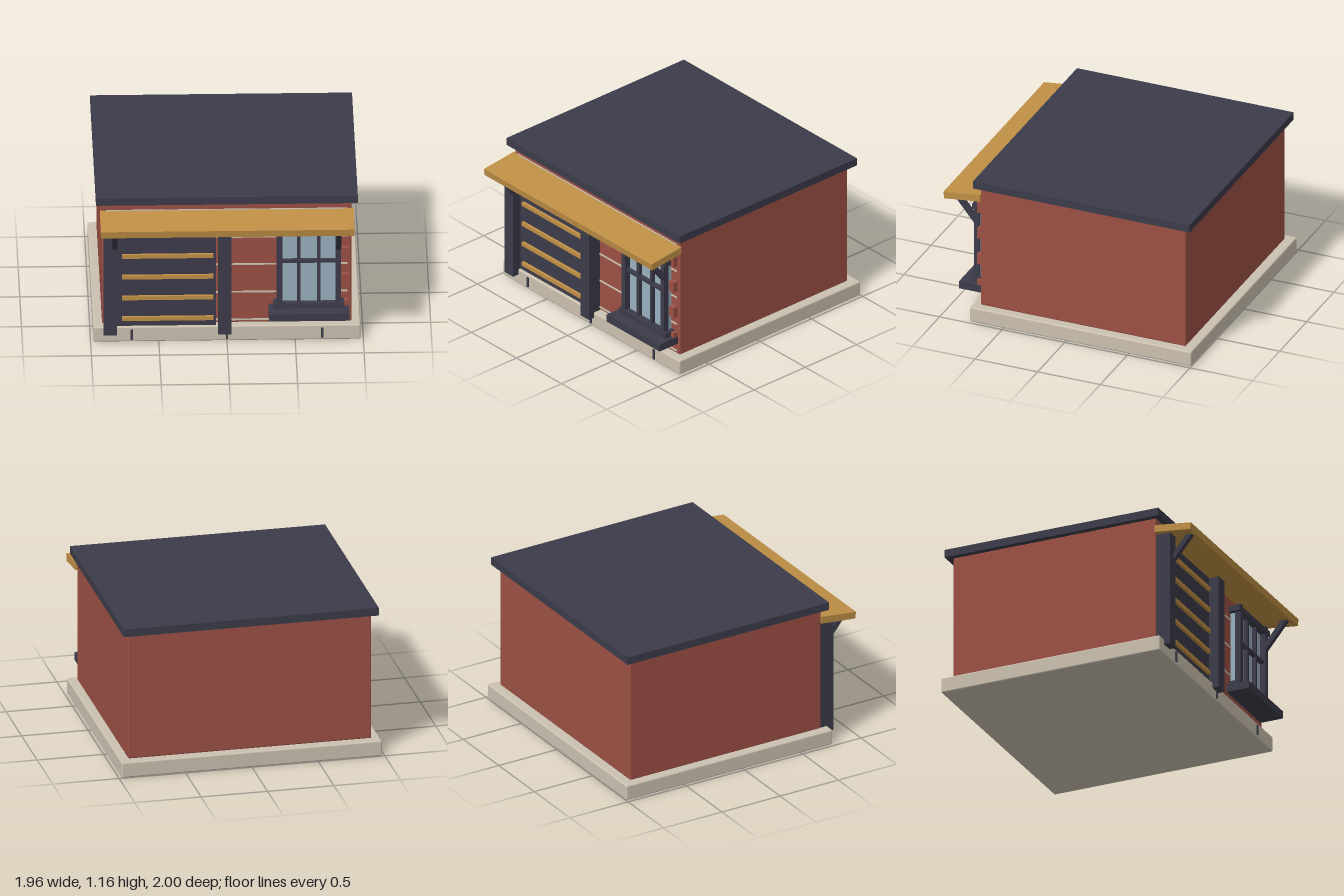
import * as THREE from 'three';
import { RoundedBoxGeometry } from 'three/addons/geometries/RoundedBoxGeometry.js';

const material = (name, color) => {
  const m = new THREE.MeshStandardMaterial({ color });
  m.name = name;
  return m;
};

export function createModel() {
  const brick = material('brick', 0x9c5044);
  const charcoal = material('charcoal', 0x3c3b4a);
  const wood = material('wood', 0xbf8f45);
  const stone = material('stone', 0xcbc1b0);
  const glass = material('glass', 0x9ab0bf);

  const model = new THREE.Group();
  model.name = 'building';

  const add = (name, geometry, mat, parent = model) => {
    const mesh = new THREE.Mesh(geometry, mat);
    mesh.name = name;
    parent.add(mesh);
    return mesh;
  };
  const group = (name) => {
    const g = new THREE.Group();
    g.name = name;
    model.add(g);
    return g;
  };
  // Box given by its extents; a radius rounds its edges
  const box = (name, mat, [x0, x1], [y0, y1], [z0, z1], parent, radius = 0) => {
    const size = [x1 - x0, y1 - y0, z1 - z0];
    const geo = radius ? new RoundedBoxGeometry(...size, 2, radius) : new THREE.BoxGeometry(...size);
    geo.translate((x0 + x1) / 2, (y0 + y1) / 2, (z0 + z1) / 2);
    return add(name, geo, mat, parent);
  };
  // Side profile of [z, y] points, extruded along x
  const profile = (name, mat, points, x0, x1, parent) => {
    const shape = new THREE.Shape(points.map(([z, y]) => new THREE.Vector2(z, y)));
    const geo = new THREE.ExtrudeGeometry(shape, { depth: x1 - x0, bevelEnabled: false });
    geo.rotateY(-Math.PI / 2).translate(x1, 0, 0);
    return add(name, geo, mat, parent);
  };

  // Main masses
  box('plinth', stone, [-0.98, 0.98], [0, 0.12], [-1, 0.77], model, 0.012);
  box('walls', brick, [-0.915, 0.915], [0.12, 1.105], [-0.93, 0.71], model, 0.01);
  box('roof', charcoal, [-0.96, 0.96], [1.1, 1.16], [-0.98, 0.75]);

  // Plinth joints and mortar courses
  for (const x of [-0.7, 0, 0.7]) {
    box('plinthJoint', charcoal, [x - 0.009, x + 0.009], [0.02, 0.1], [0.765, 0.78]);
  }
  for (const y of [0.145, 0.37, 0.595, 0.817, 1.04]) {
    box('mortarCourse', stone, [-0.885, 0.885], [y - 0.006, y + 0.006], [0.705, 0.716]);
  }

  // Slatted door between two posts
  const door = group('door');
  box('doorPanel', charcoal, [-0.87, -0.08], [0.12, 0.96], [0.705, 0.75], door);
  for (let i = 0; i < 5; i++) {
    const y = 0.184 + i * 0.169;
    box('doorSlat', wood, [-0.77, -0.1], [y - 0.015, y + 0.015], [0.745, 0.772], door);
  }
  for (const x of [-0.857, -0.017]) {
    box('post', charcoal, [x - 0.048, x + 0.048], [0.075, 0.97], [0.705, 0.82]);
  }

  // Sloping awning on diagonal struts
  profile('awning', wood, [[0.705, 0.985], [0.993, 0.952], [1, 1.005], [0.705, 1.04]], -0.93, 0.93);
  for (const x of [-0.825, 0.818]) {
    profile('awningStrut', charcoal,
      [[0.77, 0.715], [0.968, 0.957], [0.92, 0.962], [0.77, 0.775]], x - 0.019, x + 0.019);
  }

  // Window
  const win = group('window');
  box('windowGlass', glass, [0.375, 0.825], [0.28, 0.9], [0.705, 0.75], win);
  for (const x of [0.384, 0.816]) {
    box('windowStile', charcoal, [x - 0.021, x + 0.021], [0.27, 0.937], [0.75, 0.795], win);
  }
  for (const y of [0.29, 0.895]) {
    box('windowRail', charcoal, [0.34, 0.86], [y - 0.021, y + 0.021], [0.71, 0.8], win);
  }
  for (const x of [0.527, 0.673]) {
    box('windowMullion', charcoal, [x - 0.012, x + 0.012], [0.3, 0.88], [0.745, 0.78], win);
  }
  box('windowCrossbar', charcoal, [0.4, 0.8], [0.633, 0.656], [0.745, 0.782], win);
  box('windowSill', charcoal, [0.305, 0.895], [0.21, 0.268], [0.705, 0.89], win);

  // Brick quoins beside the window
  for (let i = 0; i < 4; i++) {
    const y = 0.265 + i * 0.214;
    box('quoin', brick, [0.84, 0.89], [y - 0.041, y + 0.041], [0.705, 0.75]);
  }

  return model;
}
